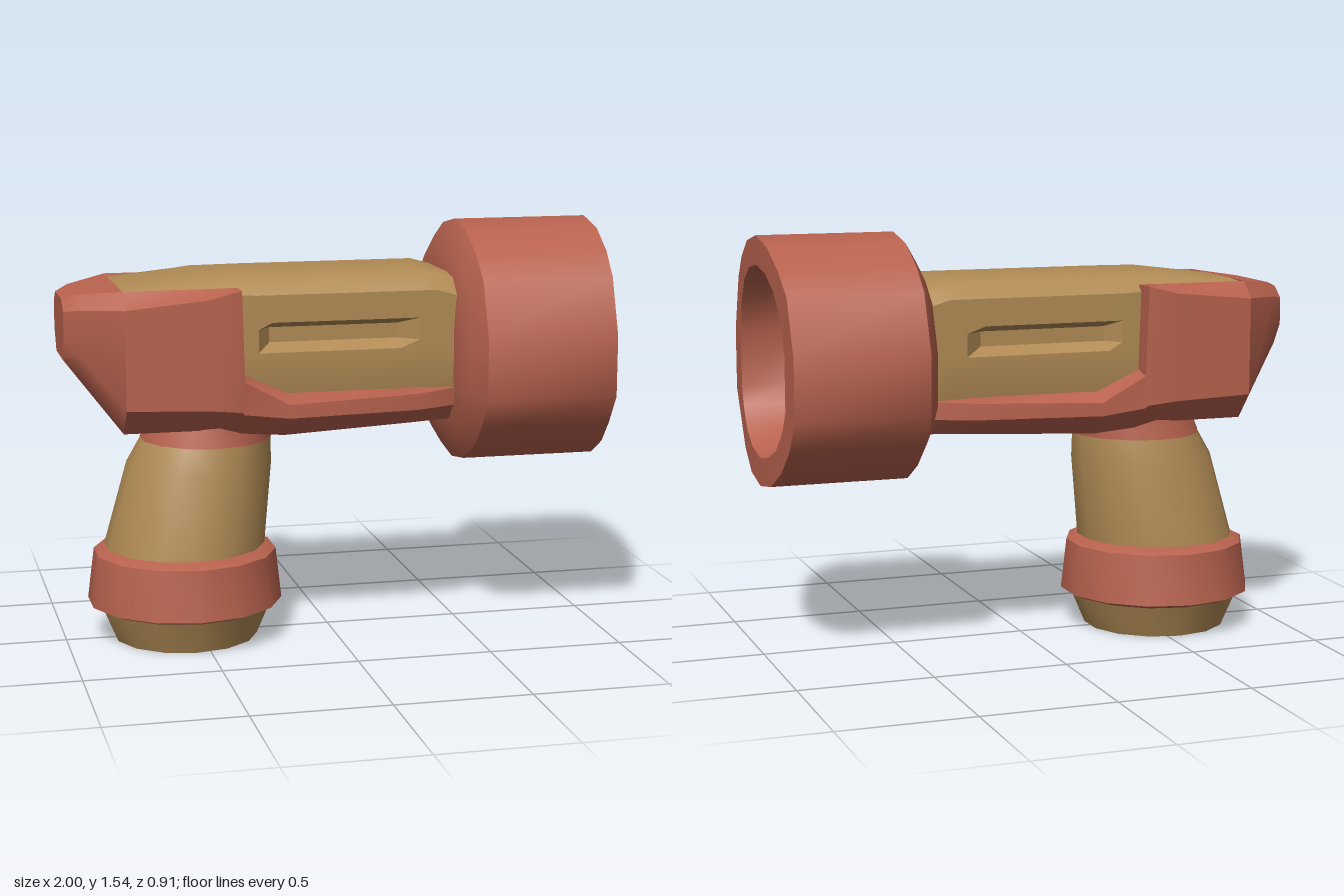
import * as THREE from 'three';
import { toCreasedNormals } from 'three/addons/utils/BufferGeometryUtils.js';

const RED = new THREE.MeshStandardMaterial({ color: 0xb8624e });
const TAN = new THREE.MeshStandardMaterial({ color: 0xb08a54 });
const OLIVE = new THREE.MeshStandardMaterial({ color: 0x8a8a68 });

// Skin between rings of [x, y, z] points; rings run counter-clockwise seen from the end they advance to
function loft(name, material, rings, { crease = 0.7, capStart = true, capEnd = true } = {}) {
  const n = rings[0].length;
  const pos = rings.flat(2);
  const index = [];
  for (let i = 0; i < rings.length - 1; i++) {
    for (let j = 0; j < n; j++) {
      const a = i * n + j, b = i * n + (j + 1) % n;
      index.push(a, b, a + n, b, b + n, a + n);
    }
  }
  const cap = (ring, start, flip) => {
    const c = pos.length / 3;
    for (let k = 0; k < 3; k++) pos.push(ring.reduce((s, p) => s + p[k], 0) / n);
    for (let j = 0; j < n; j++) {
      const a = start + j, b = start + (j + 1) % n;
      if (flip) index.push(c, b, a); else index.push(c, a, b);
    }
  };
  if (capStart) cap(rings[0], 0, true);
  if (capEnd) cap(rings[rings.length - 1], (rings.length - 1) * n, false);
  const g = new THREE.BufferGeometry();
  g.setAttribute('position', new THREE.Float32BufferAttribute(pos, 3));
  g.setIndex(index);
  const mesh = new THREE.Mesh(toCreasedNormals(g, crease), material);
  mesh.name = name;
  return mesh;
}

// Half outline of [z, y] from top to bottom, mirrored into a full ring at x
const mirrorRing = (x, half) => [
  ...half.map(([z, y]) => [x, y, z]),
  ...half.filter(([z]) => z > 0).reverse().map(([z, y]) => [x, y, -z]),
];

// Horizontal elliptical ring for the handle
function handleRing([y, x0, x1, rz]) {
  const sides = 14;
  return Array.from({ length: sides }, (_, i) => {
    const a = (i / sides) * Math.PI * 2 + Math.PI / 2;
    return [(x0 + x1) / 2 + Math.cos(a) * (x1 - x0) / 2, y, -Math.sin(a) * rz];
  });
}

export function createModel() {
  const model = new THREE.Group();

  // Barrel body with a groove pressed into each side; columns: x, top, shoulder drop, bottom, groove depth
  const body = [
    [-0.8, 1.34, 0.02, 0.83, 0], [-0.5, 1.378, 0.06, 0.825, 0], [-0.31, 1.38, 0.07, 0.805, 0],
    [-0.26, 1.38, 0.07, 0.805, 0.06], [0.22, 1.38, 0.07, 0.82, 0.06], [0.29, 1.38, 0.07, 0.82, 0],
    [0.35, 1.38, 0.07, 0.825, 0], [0.46, 1.35, 0.07, 0.83, 0],
  ].map(([x, top, drop, bottom, d]) => mirrorRing(x, [
    [0.12, top], [0.19, top - drop * 0.2], [0.25, top - drop], [0.25, 1.21],
    [0.25 - d, 1.185], [0.25 - d, 1.13], [0.25, 1.10], [0.25, 0.93], [0.2, bottom],
  ]));
  model.add(loft('body', TAN, body));

  // Chamfered tail cap
  const tail = [
    [-1, [[0.1, 1.3], [0.15, 1.26], [0.15, 1.16], [0.1, 1.08]]],
    [-0.95, [[0.14, 1.32], [0.195, 1.27], [0.195, 1.11], [0.13, 1.015]]],
    [-0.8, [[0.25, 1.34], [0.31, 1.28], [0.31, 0.92], [0.22, 0.82]]],
  ].map(([x, half]) => mirrorRing(x, half));
  model.add(loft('tailCap', RED, tail, { crease: 0.6 }));

  // Side guards: tall rear flank dropping to a low rail; points run from inner top round to inner bottom
  const guard = [
    [-0.8, [0.25, 1.34], [0.31, 1.28], [0.31, 0.92], [0.22, 0.82]],
    [-0.5, [0.25, 1.34], [0.32, 1.31], [0.32, 0.91], [0.22, 0.82]],
    [-0.385, [0.24, 1.34], [0.328, 1.34], [0.325, 0.9], [0.22, 0.805]],
    [-0.375, [0.24, 1.03], [0.322, 1.01], [0.32, 0.89], [0.22, 0.803]],
    [-0.21, [0.24, 0.955], [0.32, 0.92], [0.32, 0.87], [0.22, 0.79]],
    [0.27, [0.24, 0.955], [0.315, 0.94], [0.315, 0.88], [0.22, 0.815]],
    [0.42, [0.24, 0.95], [0.252, 0.945], [0.252, 0.88], [0.2, 0.82]],
  ];
  for (const side of [1, -1]) {
    const rings = guard.map(([x, ...pts]) => {
      const ring = [...pts, [0.15, pts[3][1] + 0.03], [0.15, pts[0][1] - 0.03]]
        .map(([z, y]) => [x, y, z * side]);
      return side > 0 ? ring : ring.reverse();
    });
    model.add(loft(side > 0 ? 'leftGuard' : 'rightGuard', RED, rings, { crease: 0.6 }));
  }

  // Lamp head: faceted drum with a recessed front
  const cy = 1.085;
  const outer = [[0, 1.54], [0.155, 1.51], [0.285, 1.44], [0.38, 1.355], [0.457, 1.15],
    [0.457, 0.925], [0.38, 0.815], [0.285, 0.725], [0.155, 0.655], [0, 0.63]];
  const inner = [[0, 1.435], [0.125, 1.415], [0.23, 1.36], [0.31, 1.265], [0.345, 1.15],
    [0.345, 0.95], [0.31, 0.88], [0.23, 0.8], [0.125, 0.755], [0, 0.735]];
  const scaled = (half, s) => half.map(([z, y]) => [z * s, cy + (y - cy) * s]);
  const rimRing = (half) => mirrorRing(0, half)
    .map(([, y, z]) => [1 - 0.02 * Math.min(1, (z / 0.4) ** 2), y, z]);
  model.add(loft('head', RED, [
    mirrorRing(0.42, scaled(outer, 0.58)),
    mirrorRing(0.44, scaled(outer, 0.82)),
    mirrorRing(0.49, outer),
    rimRing(outer),
    rimRing(inner),
    mirrorRing(0.78, scaled(inner, 0.95)),
  ], { crease: 0.95 }));

  // Handle stack; columns: y, back x, front x, half depth in z
  const handle = [
    ['handleFoot', TAN, [[0, -0.82, -0.28, 0.27], [0.13, -0.875, -0.225, 0.325]]],
    ['handleRing', RED, [[0.12, -0.865, -0.235, 0.315], [0.14, -0.915, -0.187, 0.365],
      [0.33, -0.89, -0.208, 0.345], [0.352, -0.845, -0.25, 0.295]]],
    ['grip', TAN, [[0.35, -0.85, -0.25, 0.298], [0.66, -0.762, -0.222, 0.27], [0.76, -0.705, -0.224, 0.245]]],
    ['handleCollar', RED, [[0.755, -0.71, -0.222, 0.248], [0.84, -0.675, -0.225, 0.235]]],
  ];
  for (const [name, material, rows] of handle) {
    model.add(loft(name, material, rows.map(handleRing), { crease: 0.9, capStart: name !== 'handleFoot' }));
  }

  // Flat plate closing the underside of the foot
  const plate = [[0, -0.82, -0.28, 0.27], [0.01, -0.82, -0.28, 0.268]].map(handleRing);
  model.add(loft('basePlate', OLIVE, plate));

  return model;
}
